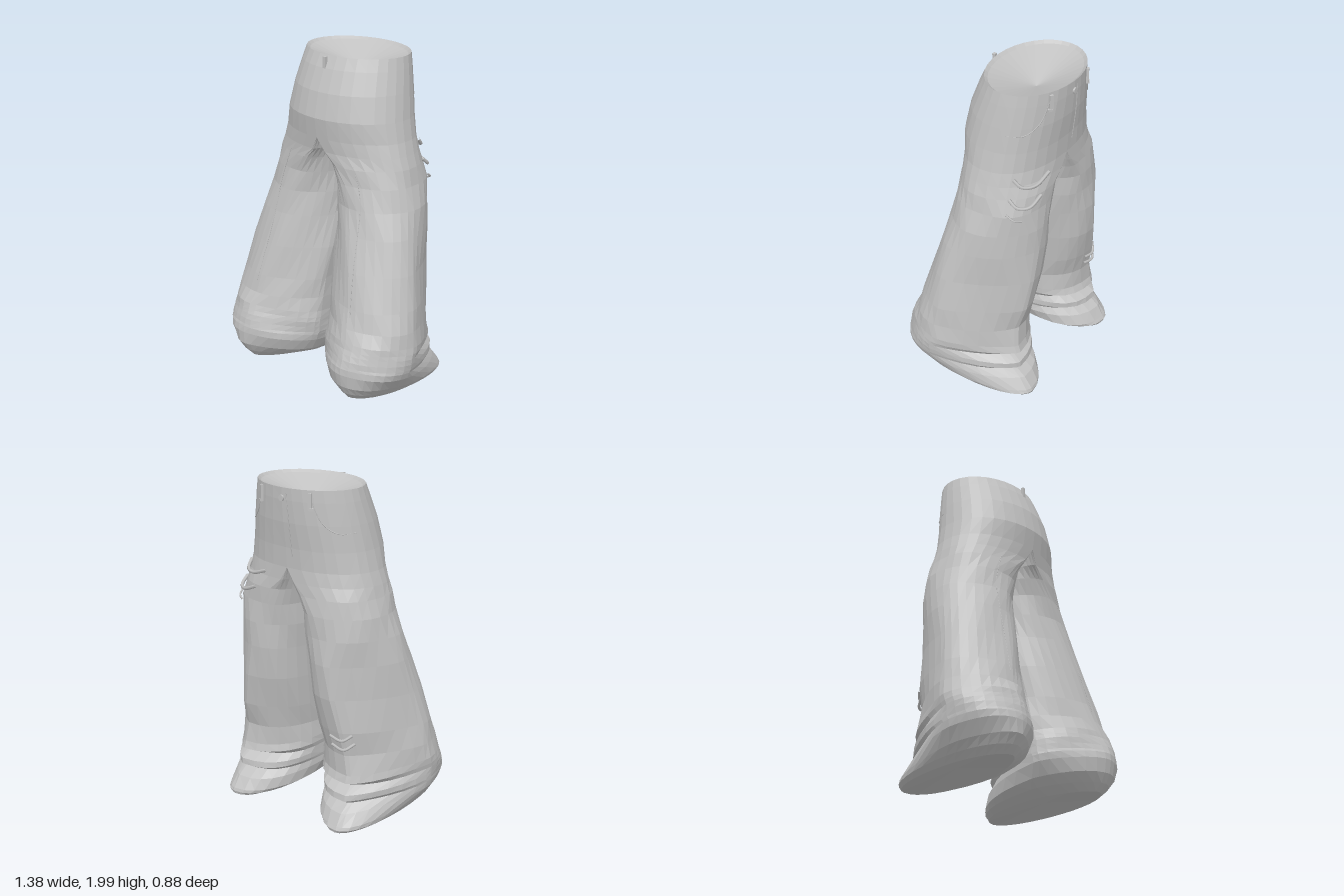
import * as THREE from 'three';

const denim = new THREE.MeshStandardMaterial({ color: 0xc2c2c2 });
denim.name = 'pale grey cloth';

const SIDES = 32;
const { smoothstep, lerp, degToRad } = THREE.MathUtils;

// Half-trouser sections: y, inner x, outer x, middle x, middle z, back z, front z, tilt
const RIM = [
  [1.88, 0, 0, 0, -0.16, -0.16, -0.16, 0],
  [1.985, 0, 0.322, 0, -0.16, 0.08, -0.393, 0],
];
const BODY = [
  [2.0, 0, 0.34, 0, -0.16, 0.1, -0.412, 0],
  [1.93, 0, 0.355, 0, -0.15, 0.135, -0.41, 0],
  [1.8, 0, 0.38, 0, -0.12, 0.185, -0.4, 0],
  [1.65, 0, 0.405, 0, -0.09, 0.215, -0.38, 0],
  [1.53, 0, 0.43, 0, -0.08, 0.198, -0.373, 0],
  [1.45, 0, 0.453, 0.05, -0.07, 0.183, -0.373, 0],
  [1.38, 0, 0.472, 0.13, -0.07, 0.176, -0.375, 0],
  [1.28, 0.004, 0.497, 0.2, -0.07, 0.172, -0.375, 0],
  [1.15, 0.01, 0.533, 0.24, -0.05, 0.185, -0.38, 0],
  [1.0, 0.015, 0.57, 0.28, -0.01, 0.22, -0.385, 0],
  [0.8, 0.025, 0.612, 0.32, 0.04, 0.27, -0.38, 0],
  [0.6, 0.042, 0.652, 0.36, 0.08, 0.32, -0.352, 0],
  [0.47, 0.05, 0.675, 0.38, 0.1, 0.352, -0.315, 0.05],
];
const CUFF = [
  [0.37, 0.05, 0.686, 0.4, 0.11, 0.385, -0.322, 0.12],
  [0.33, 0.05, 0.688, 0.4, 0.12, 0.395, -0.338, 0.13],
  [0.3, 0.052, 0.688, 0.4, 0.13, 0.405, -0.28, 0.14],
  [0.265, 0.055, 0.687, 0.41, 0.13, 0.418, -0.348, 0.14],
  [0.23, 0.057, 0.684, 0.41, 0.13, 0.428, -0.352, 0.14],
  [0.21, 0.06, 0.682, 0.41, 0.14, 0.434, -0.315, 0.15],
  [0.17, 0.068, 0.67, 0.41, 0.14, 0.44, -0.38, 0.15],
  [0.1, 0.1, 0.622, 0.41, 0.1, 0.432, -0.425, 0.13],
  [0.065, 0.15, 0.59, 0.41, 0.05, 0.4, -0.435, 0.09],
  [0.035, 0.22, 0.55, 0.4, 0, 0.36, -0.43, 0.06],
  [0.07, 0.4, 0.4, 0.4, -0.03, -0.03, -0.03, 0],
];

// Point on one section at an angle: 0 = outer side, 90 = back, -90 = front
function sectionPoint(row, degrees, side, out = 0) {
  const [y, xi, xo, xc, zc, zb, zf, tilt] = row;
  const c = Math.cos(degToRad(degrees)), s = Math.sin(degToRad(degrees));
  // Full front hips, flattened outer-front and inner-back leg panels, rounded toe
  const front = lerp(1, 1.5, smoothstep(y, 0.05, 0.22)) -
    0.64 * smoothstep(y, 0.75, 1.35) + 0.14 * smoothstep(y, 1.6, 2);
  const back = 1.28 - 0.28 * smoothstep(y, 0.9, 1.4);
  let power = 1;
  if (s < 0) power = c > 0 ? front : 0.86;
  else if (c < 0) power = back;
  const u = Math.abs(c) < 1e-6 ? 0 : Math.abs(c) ** power;
  const v = Math.abs(s) < 1e-6 ? 0 : Math.abs(s) ** power;
  let x = c > 0 ? xc + u * (xo - xc) : xc - u * (xc - xi);
  let z = s > 0 ? zc + v * (zb - zc) : zc - v * (zc - zf);
  // Small crumples in the leg cloth
  const crumple = y < 1.4 && y > 0.07 ? 0.004 * Math.sin(degToRad(degrees) * 5 + y * 23 + side) : 0;
  if (x > 1e-6) x = Math.max(0, x + c * (out + crumple));
  z += s * (out + crumple);
  return new THREE.Vector3(side * x, y + tilt * z, z);
}

// Point on the body at any height
function surfacePoint(degrees, y, side, out = 0) {
  let i = 0;
  while (i < BODY.length - 2 && BODY[i + 1][0] > y) i++;
  const a = BODY[i], b = BODY[i + 1];
  const t = (a[0] - y) / (a[0] - b[0]);
  return sectionPoint(a.map((v, k) => lerp(v, b[k], t)), degrees, side, out);
}

// Lofts one half from waist rim to sole with flat facets
function halfTrousers(side) {
  const rings = [...RIM, ...BODY, ...CUFF].map((row) =>
    Array.from({ length: SIDES }, (_, i) => {
      const deg = (i * 360) / SIDES;
      return sectionPoint(row, deg > 180 ? deg - 360 : deg, side);
    }));
  const positions = [];
  const tri = (a, b, c) => {
    const onSeam = [a, b, c].every((p) => Math.abs(p.x) < 1e-5);
    const area = b.clone().sub(a).cross(c.clone().sub(a)).length();
    if (onSeam || area < 1e-9) return;
    for (const p of side > 0 ? [a, b, c] : [a, c, b]) positions.push(p.x, p.y, p.z);
  };
  for (let j = 0; j < rings.length - 1; j++) {
    for (let i = 0; i < SIDES; i++) {
      const k = (i + 1) % SIDES;
      tri(rings[j][i], rings[j][k], rings[j + 1][i]);
      tri(rings[j][k], rings[j + 1][k], rings[j + 1][i]);
    }
  }
  const geometry = new THREE.BufferGeometry();
  geometry.setAttribute('position', new THREE.Float32BufferAttribute(positions, 3));
  geometry.computeVertexNormals();
  return geometry;
}

export function createModel() {
  const model = new THREE.Group();
  model.name = 'baggyTrousers';
  const add = (name, geometry) => {
    const mesh = new THREE.Mesh(geometry, denim);
    mesh.name = name;
    model.add(mesh);
    return mesh;
  };
  // Thin cord following the cloth through [angle, height, lift] points
  const cord = (name, side, points, radius) => {
    const path = new THREE.CatmullRomCurve3(points.map(([a, y, lift = 0]) => surfacePoint(a, y, side, lift)));
    return add(name, new THREE.TubeGeometry(path, 14, radius, 5));
  };
  // Small box set against the cloth
  const tab = (name, side, angle, y, w, h, d) => {
    const mesh = add(name, new THREE.BoxGeometry(w, h, d));
    mesh.position.copy(surfacePoint(angle, y, side, 0.004));
    mesh.rotation.y = Math.atan2(side * Math.cos(degToRad(angle)), Math.sin(degToRad(angle)));
    return mesh;
  };

  for (const side of [1, -1]) {
    const label = side > 0 ? 'left' : 'right';
    add(label + 'Leg', halfTrousers(side));
    cord(label + 'PocketSeam', side, [[-18, 1.76], [-38, 1.76], [-52, 1.82], [-59, 1.95]], 0.003);
    cord(label + 'BackCrease', side, [[66, 1.4], [72, 1.2], [79, 1.0], [83, 0.8], [86, 0.55]], 0.002);
    tab(label + 'BeltLoop', side, -60, 1.94, 0.022, 0.09, 0.016);
    tab(label + 'BeltLoopFoot', side, -60, 1.895, 0.028, 0.014, 0.022);
  }
  tab('backBeltLoop', 1, 90, 1.955, 0.02, 0.08, 0.018);

  // Fly and waist button
  cord('flySeam', -1, [[-85, 1.97], [-85, 1.8], [-86, 1.6]], 0.003);
  const button = add('button', new THREE.CylinderGeometry(0.018, 0.018, 0.014, 10));
  button.rotation.x = Math.PI / 2;
  button.position.set(0, 1.94, -0.413);

  // Frayed strips across the left thigh
  [[1.47, 0.02], [1.36, 0.02]].forEach(([y, lift], i) =>
    cord('thighTear' + (i + 1), 1,
      [[-36, y + 0.025, 0.003], [-46, y - 0.015, lift], [-60, y - 0.025, lift], [-74, y + 0.01, 0.003]], 0.011));
  cord('thighThread', 1, [[-36, 1.3, 0.005], [-46, 1.27, 0.018], [-56, 1.25, 0.01]], 0.006);

  // Smaller tear on the right shin
  [[0.57, 0.012], [0.52, 0.018]].forEach(([y, lift], i) =>
    cord('shinTear' + (i + 1), -1, [[-68, y + 0.02, 0.002], [-82, y - 0.01, lift], [-100, y, 0.004]], 0.009));

  return model;
}
